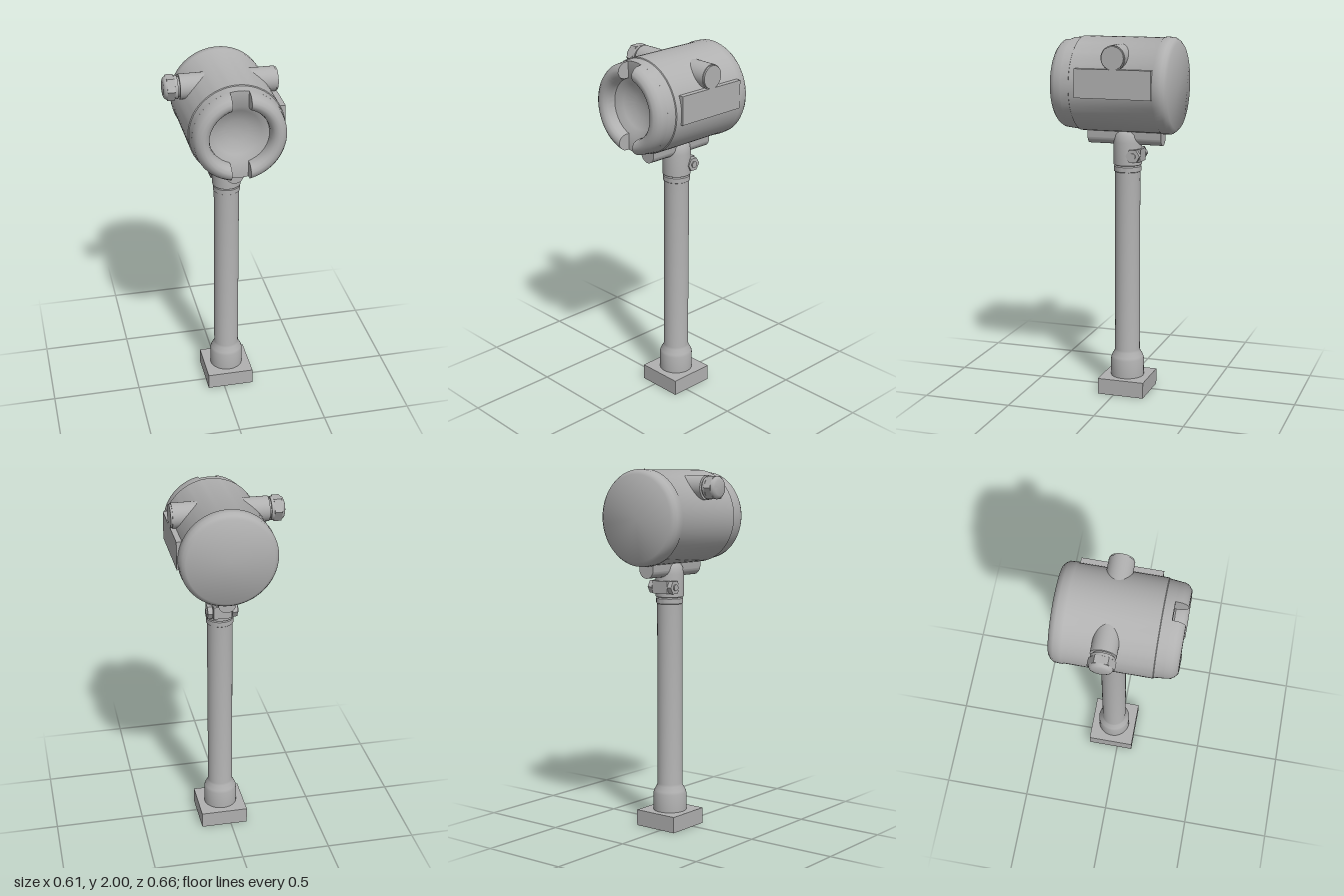
import * as THREE from 'three';
import { toCreasedNormals } from 'three/addons/utils/BufferGeometryUtils.js';

const CX = 0.038, CZ = -0.042, CY = 1.743; // stem axis and housing axis
const grey = new THREE.MeshStandardMaterial({ color: 0xb0b0b0, side: THREE.DoubleSide });
grey.name = 'grey metal';

export function createModel() {
  const model = new THREE.Group();
  const add = (name, geo, x = CX, y = 0, z = CZ, parent = model) => {
    const mesh = new THREE.Mesh(geo, grey);
    mesh.name = name;
    mesh.position.set(x, y, z);
    parent.add(mesh);
    return mesh;
  };
  const points = (list) => list.map(([r, h]) => new THREE.Vector2(r, h));
  const turned = (list, sides = 48, crease = 0.6) =>
    toCreasedNormals(new THREE.LatheGeometry(points(list), sides), crease);
  const rod = (r, length, sides = 32) =>
    new THREE.CylinderGeometry(r, r, length, sides).rotateZ(Math.PI / 2);

  // Base and upright
  add('base', new THREE.BoxGeometry(0.265, 0.09, 0.265), CX, 0.045);
  add('pipe', turned([[0, 0.09], [0.093, 0.09], [0.093, 0.19], [0.088, 0.205],
    [0.073, 0.232], [0.07, 0.245], [0.07, 1.27]], 40, 0.9));
  add('collar', turned([[0.066, 1.262], [0.075, 1.268], [0.075, 1.295], [0.07, 1.302], [0, 1.302]]));
  add('neck', turned([[0.064, 1.298], [0.078, 1.305], [0.078, 1.43], [0.072, 1.47], [0.055, 1.495], [0, 1.51]], 40, 0.9));

  // Clamp ear and cross bolt on the back of the neck
  add('clampEar', new THREE.BoxGeometry(0.1, 0.07, 0.08), CX, 1.36, -0.09);
  add('clampBolt', rod(0.018, 0.178, 16), CX, 1.36, -0.095);
  for (const side of [-1, 1])
    add('clampNut', toCreasedNormals(rod(0.04, 0.028, 6), 0.5), CX + side * 0.068, 1.36, -0.095);

  // Rounded rib under the housing
  const rib = new THREE.Shape();
  rib.moveTo(0.048, 0.09);
  rib.lineTo(-0.048, 0.09);
  rib.lineTo(-0.048, 0);
  rib.absarc(0, 0, 0.048, Math.PI, Math.PI * 2, false);
  rib.closePath();
  add('lowerRib', toCreasedNormals(new THREE.ExtrudeGeometry(rib,
    { depth: 0.42, bevelEnabled: false, curveSegments: 16 }), 0.6), CX, 1.463, -0.245);

  // Drum housing with a dished front face
  const housing = new THREE.Group();
  housing.name = 'housing';
  housing.position.set(CX, CY, 0);
  model.add(housing);
  const drum = turned([[0, -0.33], [0.233, -0.33], [0.249, -0.317], [0.26, -0.3], [0.262, -0.258],
    [0.258, -0.252], [0.258, 0.207], [0.253, 0.21], [0.248, 0.26], [0.16, 0.26],
    [0.125, 0.23], [0.065, 0.208], [0, 0.2]], 64, 0.75);
  add('drum', drum.rotateX(Math.PI / 2), 0, 0, 0, housing);

  // Front ring in two halves, leaving straight slots at top and bottom
  const slot = 0.05;
  const profile = [[0.248, 0.258], [0.244, 0.295], [0.232, 0.314], [0.214, 0.328], [0.196, 0.33],
    [0.178, 0.322], [0.166, 0.307], [0.16, 0.285], [0.16, 0.258]];
  const half = new THREE.LatheGeometry(points(profile), 40, 0, Math.PI);
  const p = half.attributes.position;
  for (let i = 0; i < p.count; i++) {
    const r = Math.hypot(p.getX(i), p.getZ(i));
    const a = Math.asin(slot / r);
    const angle = a + Math.atan2(p.getX(i), p.getZ(i)) * (1 - 2 * a / Math.PI);
    p.setX(i, r * Math.sin(angle));
    p.setZ(i, r * Math.cos(angle));
  }
  const ring = toCreasedNormals(half, 0.9).rotateX(Math.PI / 2);
  const wall = new THREE.ShapeGeometry(new THREE.Shape(
    points(profile.map(([r, h]) => [Math.sqrt(r * r - slot * slot), h]))));
  wall.applyMatrix4(new THREE.Matrix4().makeBasis(
    new THREE.Vector3(0, 1, 0), new THREE.Vector3(0, 0, 1), new THREE.Vector3(1, 0, 0)));
  for (const turn of [0, Math.PI]) {
    add('frontRingHalf', ring, 0, 0, 0, housing).rotation.z = turn;
    for (const side of [-1, 1])
      add('slotWall', wall, side * slot, 0, 0, housing).rotation.z = turn;
  }

  // Flat side plate
  add('sidePlate', new THREE.BoxGeometry(0.1, 0.155, 0.425), 0.254, 1.768, -0.04);

  // Cross boss, plug on the left end and cable gland on the right end
  const bossY = 1.905;
  add('crossBoss', rod(0.067, 0.515), 0.0375, bossY);
  add('plug', rod(0.062, 0.012), 0.299, bossY);
  add('glandNeck', rod(0.053, 0.02), -0.225, bossY);
  add('glandFlange', rod(0.063, 0.016), -0.238, bossY);
  add('glandNut', toCreasedNormals(rod(0.07, 0.041, 6), 0.5), -0.266, bossY);
  add('glandCap', turned([[0.062, 0], [0.06, 0.007], [0.054, 0.015], [0.042, 0.02], [0, 0.02]], 32, 0.7)
    .rotateZ(Math.PI / 2), -0.285, bossY);

  return model;
}
